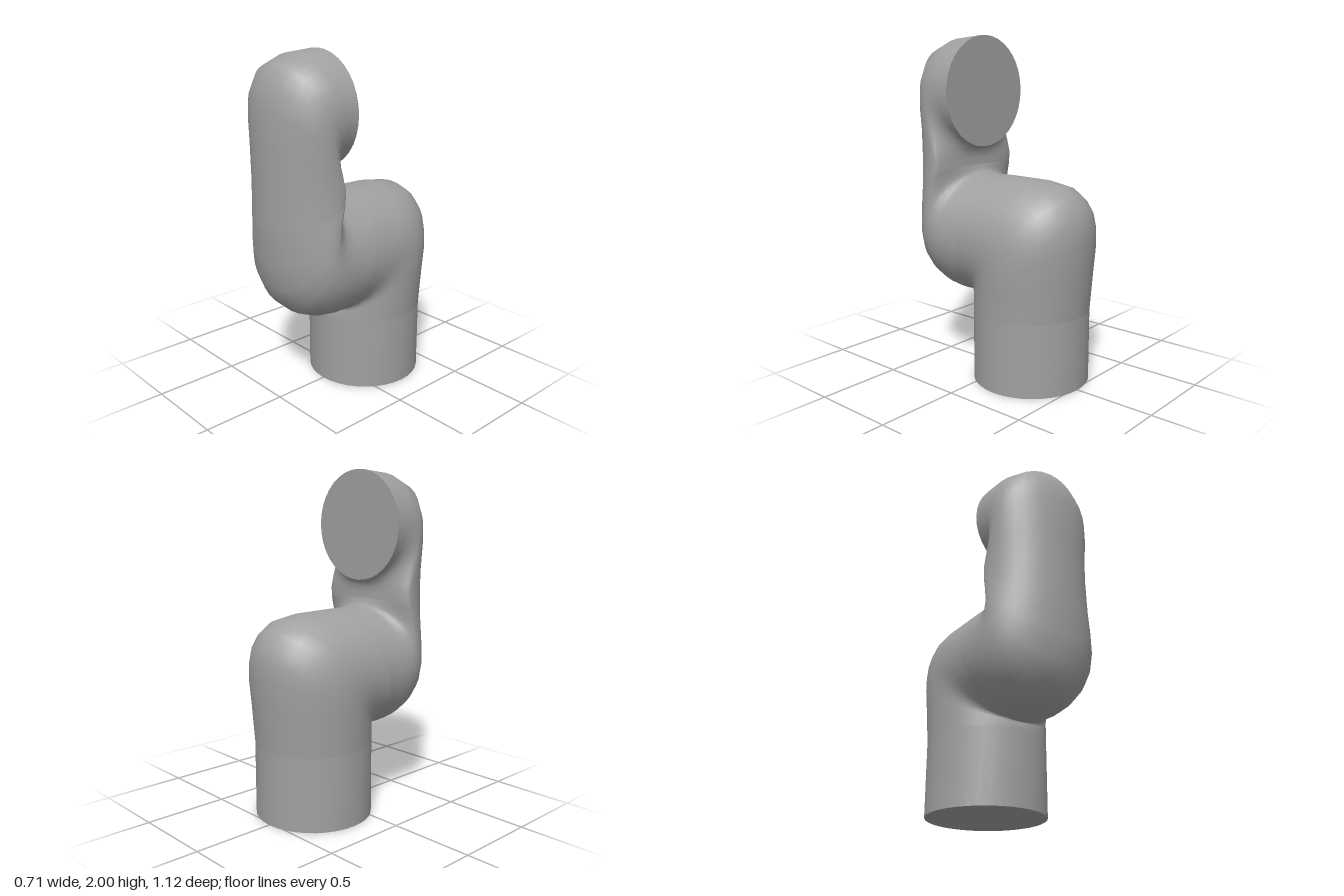
import * as THREE from 'three';
import { toCreasedNormals } from 'three/addons/utils/BufferGeometryUtils.js';

const SIDES = 36;

// Section: [backZ, backY, frontZ, frontY, halfWidth, widest point as a fraction from front to back]
const post = [
  [-0.52, 0, 0.16, 0, 0.343, 0.5],
  [-0.52, 0.43, 0.16, 0.43, 0.343, 0.5],
];
const lowerElbow = [
  [-0.52, 0.43, 0.16, 0.43, 0.343, 0.5],
  [-0.54, 0.68, 0.158, 0.46, 0.349, 0.5],
  [-0.555, 0.85, 0.155, 0.468, 0.354, 0.5],
  [-0.552, 0.95, 0.154, 0.47, 0.355, 0.5],
  [-0.53, 1.04, 0.154, 0.471, 0.356, 0.5],
  [-0.48, 1.11, 0.154, 0.472, 0.356, 0.5],
  [-0.4, 1.163, 0.155, 0.473, 0.357, 0.5],
  [-0.25, 1.187, 0.157, 0.474, 0.357, 0.5],
  [0, 1.19, 0.17, 0.474, 0.357, 0.5],
];
const upperElbow = [
  [0, 1.19, 0.17, 0.474, 0.357, 0.5],
  [0.17, 1.19, 0.22, 0.472, 0.357, 0.5],
  [0.19, 1.195, 0.31, 0.485, 0.356, 0.5],
  [0.2, 1.2, 0.4, 0.525, 0.354, 0.5],
  [0.205, 1.205, 0.475, 0.59, 0.35, 0.53],
  [0.21, 1.212, 0.53, 0.7, 0.344, 0.6],
  [0.215, 1.222, 0.553, 0.85, 0.338, 0.7],
  [0.222, 1.24, 0.56, 1.05, 0.333, 0.8],
];
const forearm = [
  [0.222, 1.24, 0.56, 1.05, 0.333, 0.8],
  [0.225, 1.28, 0.56, 1.28, 0.329, 0.84],
  [0.222, 1.315, 0.56, 1.5, 0.326, 0.78],
  [0.21, 1.335, 0.557, 1.7, 0.325, 0.65],
  [0.197, 1.345, 0.537, 1.83, 0.325, 0.56],
  [0.187, 1.348, 0.48, 1.935, 0.325, 0.51],
  [0.183, 1.35, 0.36, 1.985, 0.325, 0.5],
  [0.18, 1.35, 0.18, 2, 0.325, 0.5],
];

// Skin a row of egg-shaped sections
function loft(sections) {
  const pos = [], index = [];
  sections.forEach(([bz, by, fz, fy, w, f], i) => {
    for (let j = 0; j < SIDES; j++) {
      const t = (j / SIDES) * Math.PI * 2;
      const c = Math.cos(t);
      const s = c > 0 ? f - f * c : f - (1 - f) * c;
      pos.push(w * Math.sin(t), fy + (by - fy) * s, fz + (bz - fz) * s);
      if (i + 1 < sections.length) {
        const k = (j + 1) % SIDES;
        const a = i * SIDES + j, b = i * SIDES + k;
        index.push(a, b, b + SIDES, a, b + SIDES, a + SIDES);
      }
    }
  });
  const geo = new THREE.BufferGeometry();
  geo.setAttribute('position', new THREE.Float32BufferAttribute(pos, 3));
  geo.setIndex(index);
  return toCreasedNormals(geo, 0.8);
}

export function createModel() {
  const group = new THREE.Group();
  const grey = new THREE.MeshStandardMaterial({ color: 0xa0a0a0 });
  grey.name = 'plain grey';

  const add = (name, geo) => {
    const mesh = new THREE.Mesh(geo, grey);
    mesh.name = name;
    group.add(mesh);
    return mesh;
  };

  // Bent pipe from the upright post to the raised arm
  add('basePost', loft(post));
  add('lowerElbow', loft(lowerElbow));
  add('upperElbow', loft(upperElbow));
  add('forearm', loft(forearm));

  // Flat ends
  const bottom = add('baseCap', new THREE.CircleGeometry(1, SIDES));
  bottom.rotation.x = Math.PI / 2;
  bottom.scale.set(0.343, 0.34, 1);
  bottom.position.set(0, 0, -0.18);

  const end = add('mountingFace', new THREE.CircleGeometry(1, SIDES));
  end.rotation.y = Math.PI;
  end.scale.set(0.325, 0.325, 1);
  end.position.set(0, 1.675, 0.18);

  return group;
}
